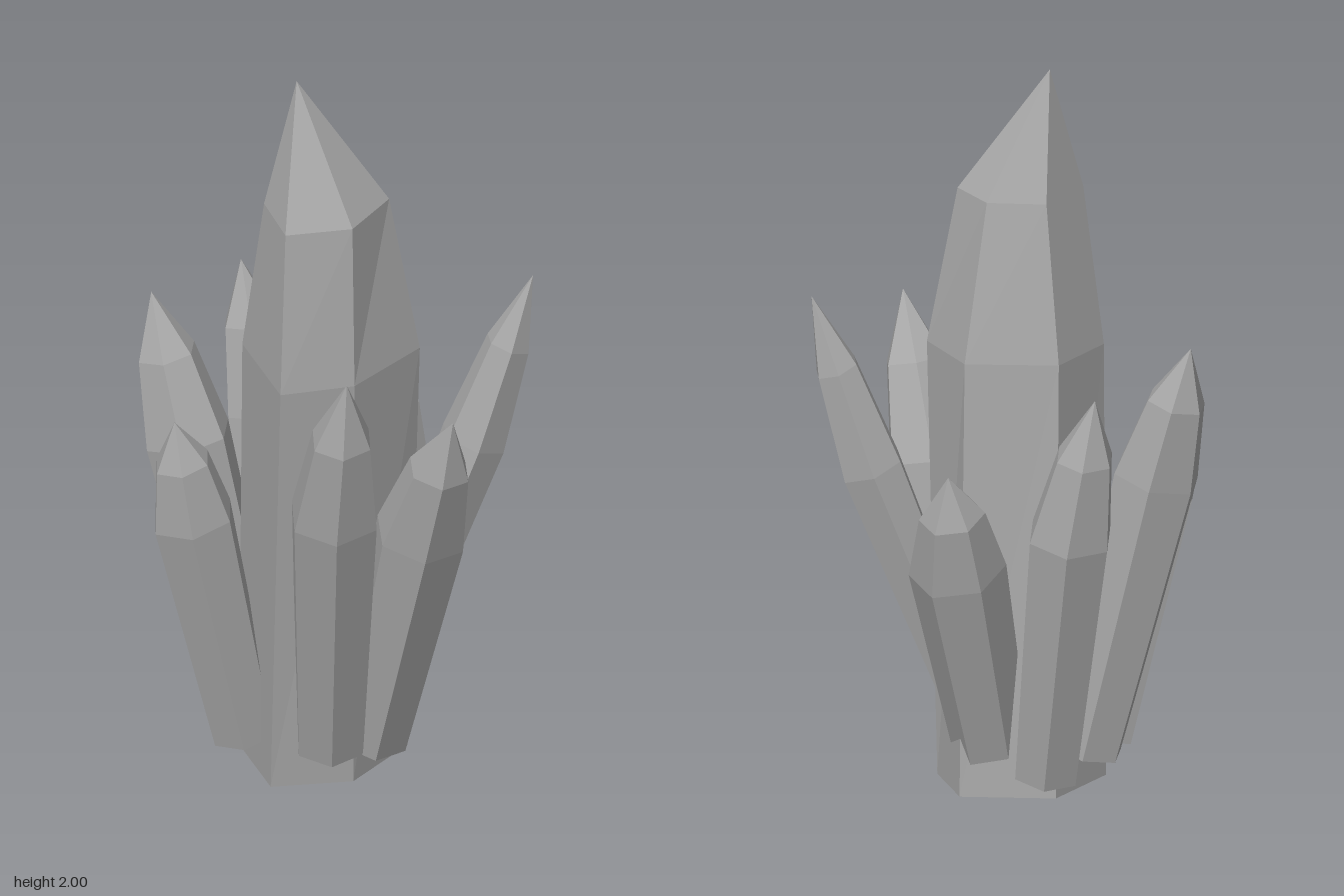
import * as THREE from 'three';

const V = (x, y, z) => new THREE.Vector3(x, y, z);

// Closed faceted crystal: hexagonal rings from bottom to top (counterclockwise from above), then a point
function crystalGeometry(rings, tip) {
  const pos = [];
  const tri = (...pts) => pts.forEach((p) => pos.push(p.x, p.y, p.z));
  const n = rings[0].length;
  const foot = rings[0].reduce((s, p) => s.add(p), V(0, 0, 0)).divideScalar(n);
  for (let i = 0; i < n; i++) {
    const j = (i + 1) % n;
    tri(foot, rings[0][j], rings[0][i]);
    for (let k = 0; k + 1 < rings.length; k++) {
      const lo = rings[k], hi = rings[k + 1];
      tri(lo[i], lo[j], hi[j]);
      tri(lo[i], hi[j], hi[i]);
    }
    const top = rings[rings.length - 1];
    tri(top[i], top[j], tip);
  }
  const g = new THREE.BufferGeometry();
  g.setAttribute('position', new THREE.Float32BufferAttribute(pos, 3));
  g.computeVertexNormals();
  return g;
}

// Hexagon perpendicular to an axis, starting at a given angle
function hexRing(center, axis, radius, angle) {
  const q = new THREE.Quaternion().setFromUnitVectors(V(0, 1, 0), axis);
  return Array.from({ length: 6 }, (_, i) => {
    const a = angle + (i * Math.PI) / 3;
    return V(Math.cos(a) * radius, 0, -Math.sin(a) * radius).applyQuaternion(q).add(center);
  });
}

// Leaning side crystal: narrow foot, wide shoulder, smaller cap ring, point
function shardGeometry({ foot, wide, tip, r, edgeOut }) {
  const f = V(...foot), w = V(...wide), t = V(...tip);
  const axis = w.clone().sub(f).normalize();
  const angle = Math.atan2(-axis.z, axis.x) + (edgeOut ? Math.PI / 6 : 0);
  const cap = w.clone().lerp(t, 0.58);
  return crystalGeometry([
    hexRing(f, axis, r * 0.78, angle),
    hexRing(w, axis, r, angle),
    hexRing(cap, axis, r * 0.68, angle),
  ], t);
}

export function createModel() {
  const group = new THREE.Group();
  const stone = new THREE.MeshStandardMaterial({ color: 0xa8a8a8, flatShading: true });
  stone.name = 'grey crystal';
  const add = (name, geometry) => {
    const mesh = new THREE.Mesh(geometry, stone);
    mesh.name = name;
    group.add(mesh);
  };

  // Central crystal: uneven hexagons, each lying on a plane that rises slightly to the back
  const level = (y, rise, pts) => pts.map(([x, z]) => V(x, y + rise * (0.165 - z), z));
  add('mainCrystal', crystalGeometry([
    level(0, 0.084, [[-0.25, -0.06], [-0.2, 0.165], [0.02, 0.165], [0.19, 0.0], [0.15, -0.2], [-0.1, -0.245]]),
    level(1.21, 0.084, [[-0.25, 0.0], [-0.19, 0.27], [0.01, 0.25], [0.21, 0.08], [0.13, -0.13], [-0.115, -0.17]]),
    level(1.65, 0.06, [[-0.2, 0.05], [-0.17, 0.225], [0.01, 0.215], [0.13, 0.07], [0.065, -0.06], [-0.09, -0.09]]),
  ], V(-0.11, 2, 0.03)));

  // Ring of smaller crystals leaning outward
  const shards = {
    leftShard: { foot: [0.07, 0.12, 0], wide: [0.365, 0.9, 0], tip: [0.52, 1.38, 0.025], r: 0.09, edgeOut: true },
    frontShard: { foot: [-0.04, 0.11, 0.15], wide: [-0.06, 0.88, 0.355], tip: [-0.05, 1.335, 0.505], r: 0.125 },
    frontLeftShard: { foot: [0.075, 0.11, 0.13], wide: [0.175, 0.79, 0.315], tip: [0.235, 1.195, 0.49], r: 0.125, edgeOut: true },
    frontRightShard: { foot: [-0.25, 0.1, 0.03], wide: [-0.395, 0.77, 0.085], tip: [-0.45, 1.07, 0.125], r: 0.115 },
    backRightShard: { foot: [-0.2, 0.11, -0.09], wide: [-0.375, 0.9, -0.135], tip: [-0.46, 1.29, -0.21], r: 0.12, edgeOut: true },
    backShard: { foot: [-0.075, 0.11, -0.25], wide: [-0.125, 0.84, -0.38], tip: [-0.185, 1.25, -0.445], r: 0.118, edgeOut: true },
    backLeftShard: { foot: [0.06, 0.14, -0.12], wide: [0.16, 0.7, -0.25], tip: [0.195, 1.01, -0.36], r: 0.13 },
  };
  for (const [name, spec] of Object.entries(shards)) add(name, shardGeometry(spec));

  return group;
}
